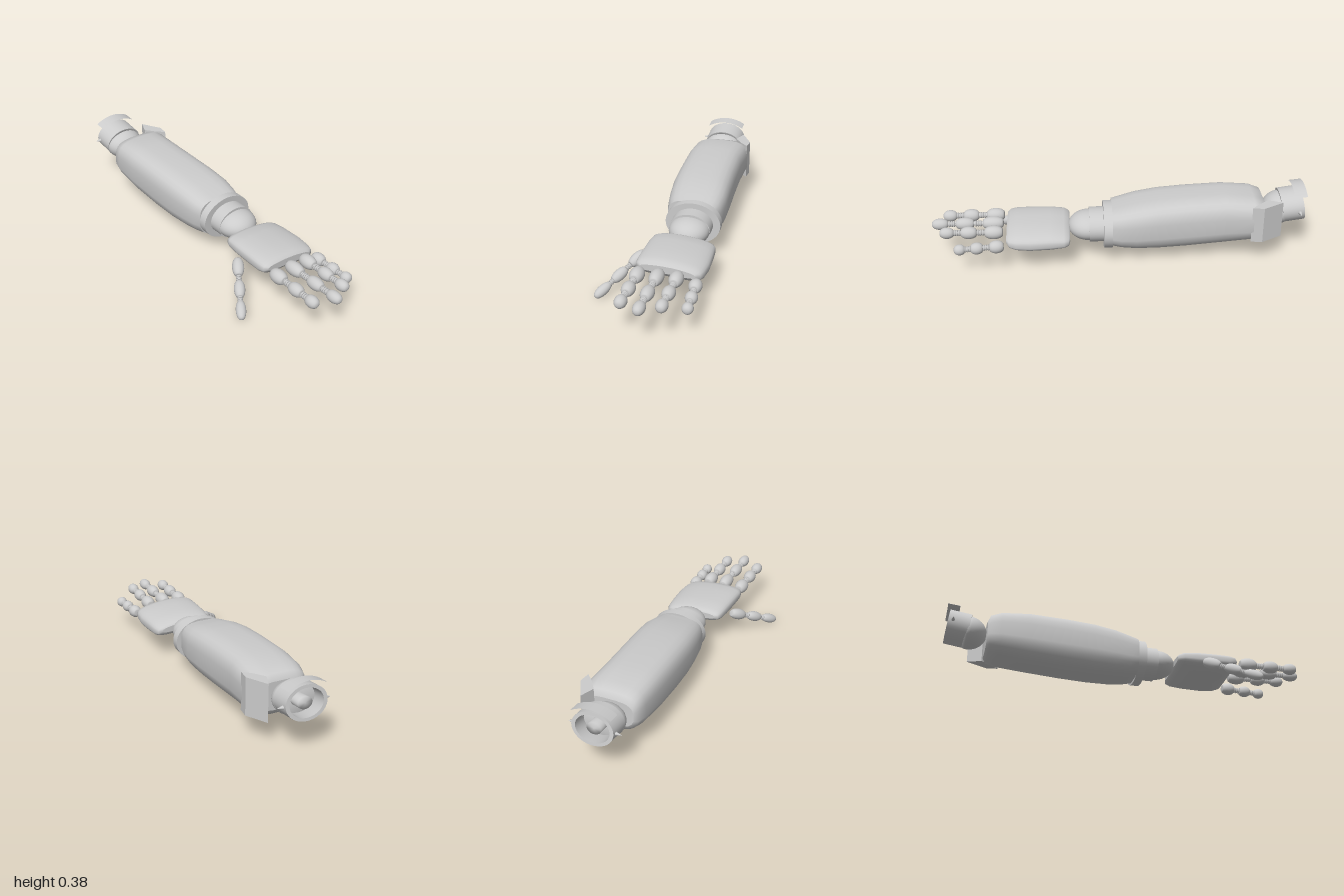
import * as THREE from 'three';

const mat = new THREE.MeshStandardMaterial({ color: 0xcccccc, side: THREE.DoubleSide });
const V = (x, y, z) => new THREE.Vector3(x, y, z);
const UP = V(0, 1, 0);

function add(parent, name, geo) {
  const m = new THREE.Mesh(geo, mat);
  m.name = name;
  parent.add(m);
  return m;
}

// Skin over superellipse sections [x, yLow, yHigh, zBack, zFront] with closed ends.
function loft(sections, power, sides, bend = () => {}) {
  const first = sections[0], last = sections[sections.length - 1];
  const mid = s => [s[0], (s[1] + s[2]) / 2, (s[1] + s[2]) / 2, (s[3] + s[4]) / 2, (s[3] + s[4]) / 2];
  const rings = [mid(first), first, ...sections, last, mid(last)];
  const pos = [], idx = [];
  const soft = t => Math.sign(t) * Math.pow(Math.abs(t), 2 / power);
  rings.forEach(([x, y0, y1, z0, z1], i) => {
    for (let j = 0; j < sides; j++) {
      const a = (j + 0.5) / sides * Math.PI * 2;
      const s = soft(Math.sin(a)), c = soft(Math.cos(a));
      const p = V(x, (y0 + y1) / 2 + s * (y1 - y0) / 2, (z0 + z1) / 2 + c * (z1 - z0) / 2);
      bend(p, s, c);
      pos.push(p.x, p.y, p.z);
      if (i === rings.length - 1) continue;
      const k = (j + 1) % sides, A = i * sides + j, B = A + sides, C = (i + 1) * sides + k, D = i * sides + k;
      idx.push(A, B, C, A, C, D);
    }
  });
  const g = new THREE.BufferGeometry();
  g.setAttribute('position', new THREE.Float32BufferAttribute(pos, 3));
  g.setIndex(idx);
  g.computeVertexNormals();
  return g;
}

// Round part turned around the x axis: profile of [radius, x], flattened in y.
function turned(parent, name, profile, center, ry, rz, tilt = 0) {
  const g = new THREE.LatheGeometry(profile.map(p => new THREE.Vector2(p[0], p[1])), 40);
  g.rotateZ(-Math.PI / 2).scale(1, ry, rz).rotateZ(tilt);
  const m = add(parent, name, g);
  m.position.copy(center);
  return m;
}

const dome = (r, n = 12) => Array.from({ length: n + 1 }, (_, i) => {
  const a = i / n * Math.PI / 2;
  return [Math.max(Math.cos(a), 1e-4), r * Math.sin(a)];
});

// Barrel phalanx between two points; a tip ends in a full round point.
function phalanx(parent, name, a, b, r, tip) {
  const len = a.distanceTo(b), pts = [];
  const end = tip ? Math.PI : Math.PI * 0.86;
  const start = tip ? Math.PI * 0.08 : Math.PI * 0.14;
  pts.push(new THREE.Vector2(0.0001, -Math.cos(start) * len / 2));
  for (let i = 0; i <= 16; i++) {
    const t = start + (end - start) * i / 16;
    pts.push(new THREE.Vector2(Math.max(r * Math.pow(Math.sin(t), 0.8), 1e-4), -Math.cos(t) * len / 2));
  }
  if (!tip) pts.push(new THREE.Vector2(0.0001, -Math.cos(end) * len / 2));
  const m = add(parent, name, new THREE.LatheGeometry(pts, 24));
  m.position.copy(a).add(b).multiplyScalar(0.5);
  m.quaternion.setFromUnitVectors(UP, b.clone().sub(a).normalize());
}

// Small ribbed knuckle joining two phalanges.
function knuckle(parent, a, b, r) {
  const dir = b.clone().sub(a), len = dir.length() + 0.03;
  const group = new THREE.Group();
  group.name = 'knuckle';
  group.position.copy(a).add(b).multiplyScalar(0.5);
  group.quaternion.setFromUnitVectors(UP, dir.normalize());
  add(group, 'knucklePin', new THREE.CylinderGeometry(r * 0.7, r * 0.7, len, 12));
  for (const s of [-1, 0, 1]) {
    const rib = add(group, 'knuckleRib', new THREE.TorusGeometry(r * 0.7, r * 0.3, 6, 16));
    rib.rotation.x = Math.PI / 2;
    rib.position.y = s * r * 0.7;
  }
  parent.add(group);
}

// Finger from base to tip; cuts are the fractions where each phalanx starts and ends.
function finger(parent, name, base, tip, r, cuts) {
  const g = new THREE.Group();
  g.name = name;
  const at = t => base.clone().lerp(tip, t);
  for (let i = 0; i < 3; i++) {
    phalanx(g, 'phalanx', at(cuts[2 * i]), at(cuts[2 * i + 1]), r * (1 - 0.08 * i), i === 2);
    if (i < 2) knuckle(g, at(cuts[2 * i + 1]), at(cuts[2 * i + 2]), r * 0.48);
  }
  parent.add(g);
}

export function createModel() {
  const arm = new THREE.Group();
  arm.name = 'roboticForearm';

  // Forearm shell, narrower along its underside
  add(arm, 'forearmShell', loft([
    [-0.77, 0.14, 0.29, -0.20, 0.055],
    [-0.755, 0.115, 0.325, -0.225, 0.075],
    [-0.70, 0.10, 0.345, -0.235, 0.09],
    [-0.55, 0.08, 0.354, -0.225, 0.10],
    [-0.35, 0.065, 0.347, -0.228, 0.10],
    [-0.20, 0.06, 0.337, -0.233, 0.096],
    [-0.08, 0.063, 0.32, -0.235, 0.085],
    [0.0, 0.07, 0.30, -0.225, 0.072],
    [0.045, 0.078, 0.29, -0.212, 0.06],
  ], 3.3, 24, (p, s) => { if (s < -0.3) p.z = -0.07 + (p.z + 0.07) * (1 + 0.18 * (s + 0.3)); }));

  // Pointed guard behind the elbow
  const guard = new THREE.Shape();
  guard.moveTo(-0.85, -0.18);
  guard.lineTo(-0.74, -0.24);
  guard.lineTo(-0.68, -0.232);
  guard.lineTo(-0.72, -0.19);
  guard.lineTo(-0.775, -0.15);
  guard.closePath();
  const guardGeo = new THREE.ExtrudeGeometry(guard, { depth: 0.2, bevelEnabled: false });
  guardGeo.rotateX(Math.PI / 2);
  add(arm, 'elbowGuard', guardGeo).position.y = 0.33;

  // Elbow: hollow sleeve and domed joint
  const sleeve = V(-0.915, 0.255, -0.052);
  turned(arm, 'elbowSleeve', [[0.82, -0.06], [1, -0.06], [1, -0.06], [1, 0.055], [1, 0.055], [0.82, 0.055], [0.82, -0.06]],
    sleeve, 0.087, 0.11, -0.14);
  turned(arm, 'elbowJoint', [[0.001, -0.03], [0.9, -0.03], ...dome(0.1)], V(-0.865, 0.24, -0.052), 0.083, 0.108, -0.14);
  turned(arm, 'elbowCore', [[0.001, -0.05], [0.35, -0.05], [0.35, 0.05]], V(-0.91, 0.25, -0.052), 0.087, 0.11, -0.14);

  // Curved plate over the sleeve
  const plate = new THREE.CylinderGeometry(0.19, 0.19, 0.065, 20, 1, true, -0.58, 1.16);
  plate.rotateX(-Math.PI / 2).rotateY(Math.PI / 2).rotateZ(-0.1);
  add(arm, 'upperPlate', plate).position.set(-0.967, 0.185, -0.052);

  // Side studs on the sleeve
  for (const s of [-1, 1]) {
    const stud = add(arm, 'sleeveStud', new THREE.ConeGeometry(0.015, 0.05, 12));
    stud.rotation.x = s * Math.PI / 2;
    stud.position.set(-0.95, 0.255, -0.052 + s * 0.117);
  }

  // Wrist: band, sleeve and ball
  turned(arm, 'wristBand', [[0.6, 0], [1, 0], [1, 0], [1, 0.045], [1, 0.045], [0.6, 0.045]], V(0.045, 0.183, -0.09), 0.118, 0.15);
  turned(arm, 'wristSleeve', [[1, 0], [1, 0.08], [1, 0.08], [0.5, 0.08]], V(0.085, 0.184, -0.09), 0.087, 0.11);
  turned(arm, 'wristBall', [[1, -0.01], ...dome(0.11)], V(0.167, 0.183, -0.09), 0.075, 0.108);

  // Hand: palm dips slightly toward the outer edge
  const hand = new THREE.Group();
  hand.name = 'hand';
  arm.add(hand);
  add(hand, 'palm', loft([
    [0.268, 0.165, 0.20, -0.225, 0.035],
    [0.275, 0.15, 0.21, -0.25, 0.055],
    [0.30, 0.14, 0.222, -0.262, 0.068],
    [0.37, 0.132, 0.23, -0.267, 0.075],
    [0.48, 0.13, 0.23, -0.27, 0.08],
    [0.55, 0.133, 0.226, -0.262, 0.082],
    [0.585, 0.145, 0.217, -0.25, 0.076],
    [0.60, 0.165, 0.203, -0.225, 0.055],
  ], 2.9, 32, p => { const d = (p.z + 0.09) / 0.17; p.y += d > 0 ? 0.004 * d : 0.022 * d; }));

  const cuts = [0, 0.31, 0.41, 0.68, 0.77, 1];
  finger(hand, 'indexFinger', V(0.615, 0.18, 0.045), V(0.95, 0.178, 0.052), 0.037, cuts);
  finger(hand, 'middleFinger', V(0.615, 0.186, -0.055), V(1.0, 0.186, -0.05), 0.036, cuts);
  finger(hand, 'ringFinger', V(0.615, 0.184, -0.15), V(0.95, 0.186, -0.145), 0.036, cuts);
  finger(hand, 'littleFinger', V(0.61, 0.152, -0.238), V(0.87, 0.143, -0.25), 0.034, cuts);
  finger(hand, 'thumb', V(0.395, 0.155, 0.085), V(0.658, 0.012, 0.27), 0.031, [0, 0.31, 0.37, 0.66, 0.7, 1]);

  return arm;
}
